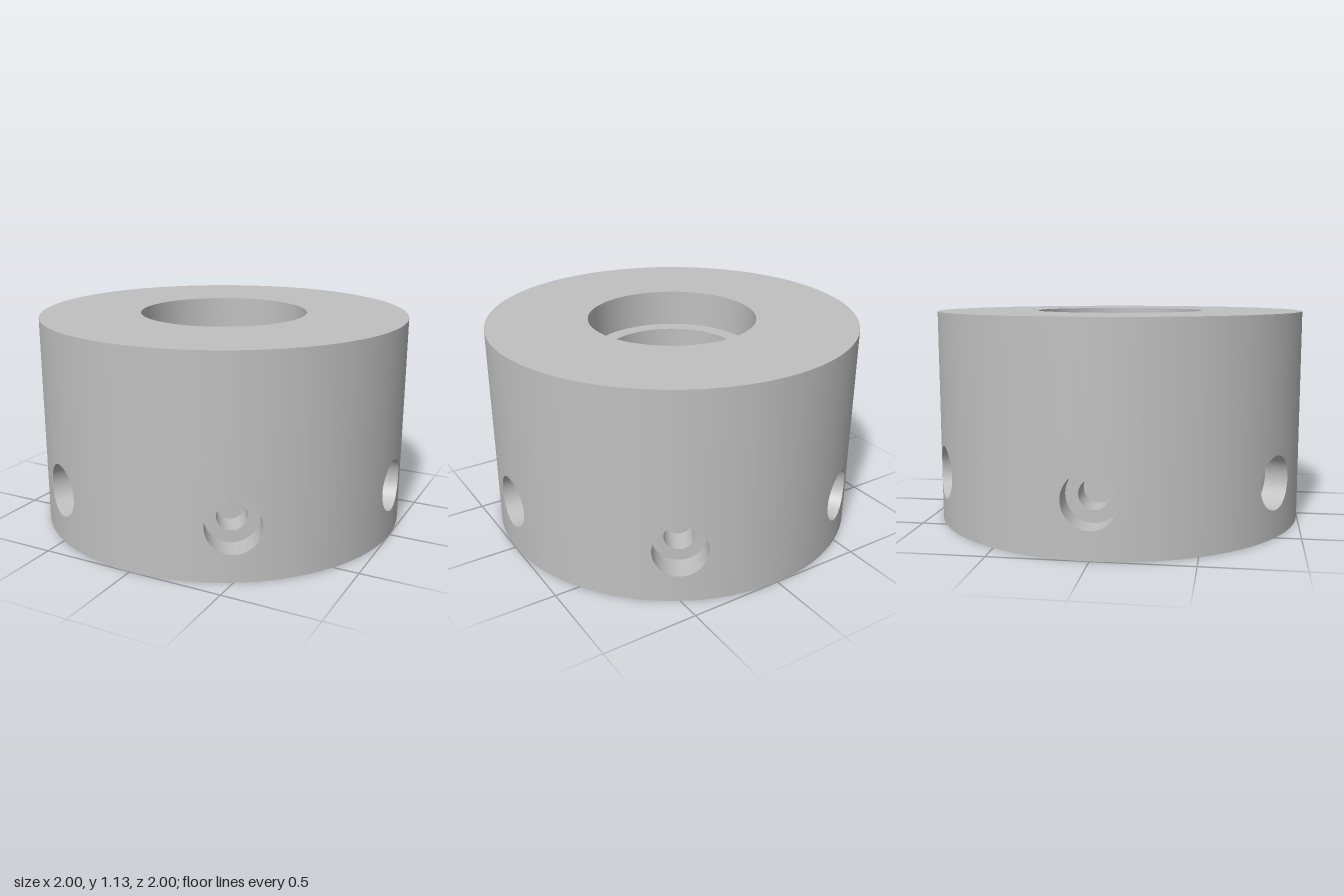
import * as THREE from 'three';
import { mergeVertices } from 'three/addons/utils/BufferGeometryUtils.js';

const SEG = 96;
const HEIGHT = 1.13, R_OUT = 1, R_SEAT = 0.455, R_BORE = 0.367;
const GROOVE_IN = 0.63, GROOVE_OUT = 0.72;
const HOLE_Y = 0.285, GROOVE_TOP = 2 * HOLE_Y;
const R_HEAD = 0.14, R_SHANK = 0.077, HEAD_FLOOR = 0.86;
const SEAT_Y = 0.93;
const SLOT = { width: 0.23, thick: 0.08, depth: 0.32, radius: 0.495 };

// surface from a rule (u, v) -> point, facing du x dv
function grid(rule, nu, nv) {
  const pos = [], index = [];
  for (let j = 0; j <= nv; j++)
    for (let i = 0; i <= nu; i++) pos.push(...rule(i / nu, j / nv));
  for (let j = 0; j < nv; j++)
    for (let i = 0; i < nu; i++) {
      const a = j * (nu + 1) + i, b = a + 1, d = a + nu + 1, c = d + 1;
      index.push(a, b, d, b, c, d);
    }
  let g = new THREE.BufferGeometry();
  g.setAttribute('position', new THREE.Float32BufferAttribute(pos, 3));
  g.setIndex(index);
  g = mergeVertices(g, 1e-5);
  g.computeVertexNormals();
  return g;
}

// point on the border of a square, counterclockwise
function square(u) {
  const s = Math.floor(u * 4), t = 2 * (u * 4 - s) - 1;
  return [[1, t], [-t, 1], [-1, -t], [t, -1]][s % 4];
}

// point of a round hole cut through a cylinder wall of radius R
function holeOnWall(u, r, R) {
  const [sx, sy] = square(u), a = Math.atan2(sy, sx), x = r * Math.cos(a);
  return [x, HOLE_Y + r * Math.sin(a), R ? Math.sqrt(R * R - x * x) : HEAD_FLOOR];
}

// one sixth of a cylinder wall with a round hole; v runs from hole to border
function wallPatch(R, r, outward) {
  const g = grid((u, v) => {
    const k = outward ? 1 - v : v, [sx, sy] = square(u), h = holeOnWall(u, r, R);
    const ang = THREE.MathUtils.lerp(Math.asin(h[0] / R), sx * Math.PI / 6, k);
    return [R * Math.sin(ang), THREE.MathUtils.lerp(h[1], HOLE_Y * (1 + sy), k), R * Math.cos(ang)];
  }, 64, 8);
  const p = g.attributes.position, n = g.attributes.normal, s = outward ? 1 / R : -1 / R;
  for (let i = 0; i < p.count; i++) n.setXYZ(i, p.getX(i) * s, 0, p.getZ(i) * s);
  return g;
}

// ruled surface between two hole outlines
function between(r0, R0, r1, R1) {
  return grid((u, v) => {
    const a = holeOnWall(u, r0, R0), b = holeOnWall(u, r1, R1);
    return a.map((c, i) => THREE.MathUtils.lerp(c, b[i], v));
  }, 64, 1);
}

// inside faces of a rectangular pocket open at the bottom
function pocket(w, h, d) {
  const g = new THREE.BoxGeometry(w, h, d);
  const idx = Array.from(g.index.array).filter((_, i) => i < 18 || i >= 24);
  g.clearGroups();
  g.setIndex(idx.reverse());
  const n = g.attributes.normal;
  for (let i = 0; i < n.count; i++) n.setXYZ(i, -n.getX(i), -n.getY(i), -n.getZ(i));
  return g;
}

export function createModel() {
  const model = new THREE.Group();
  model.name = 'clampCollar';
  const grey = new THREE.MeshStandardMaterial({ color: 0xc0c0c0 });
  grey.name = 'grey';

  const add = (parent, name, geometry) => {
    const m = new THREE.Mesh(geometry, grey);
    m.name = name;
    parent.add(m);
    return m;
  };
  const turned = (name, r0, y0, r1, y1) =>
    add(model, name, new THREE.LatheGeometry([new THREE.Vector2(r0, y0), new THREE.Vector2(r1, y1)], SEG));

  // turned surfaces, each kept apart for sharp edges
  turned('outerWall', R_OUT, GROOVE_TOP, R_OUT, HEIGHT);
  turned('topFace', R_OUT, HEIGHT, R_SEAT, HEIGHT);
  turned('seatWall', R_SEAT, HEIGHT, R_SEAT, SEAT_Y);
  turned('seatFloor', R_SEAT, SEAT_Y, R_BORE, SEAT_Y);
  turned('bore', R_BORE, SEAT_Y, R_BORE, 0);
  turned('sleeveWall', GROOVE_IN, 0, GROOVE_IN, GROOVE_TOP);
  turned('grooveCeiling', GROOVE_IN, GROOVE_TOP, GROOVE_OUT, GROOVE_TOP);
  turned('bottomRim', GROOVE_OUT, 0, R_OUT, 0);

  // sleeve underside with six slot openings
  const face = new THREE.Shape().absarc(0, 0, GROOVE_IN, 0, Math.PI * 2);
  face.holes.push(new THREE.Path().absarc(0, 0, R_BORE, 0, Math.PI * 2, true));
  for (let k = 0; k < 6; k++) {
    const a = k * Math.PI / 3, t = SLOT.thick / 2, w = SLOT.width / 2;
    const corners = [[-t, -w], [-t, w], [t, w], [t, -w]].map(([x, y]) =>
      new THREE.Vector2(SLOT.radius + x, y).rotateAround(new THREE.Vector2(), a));
    face.holes.push(new THREE.Path(corners));
  }
  add(model, 'sleeveUnderside', new THREE.ShapeGeometry(face, SEG).rotateX(Math.PI / 2));

  // six stations, each with a stepped screw hole and a slot
  const parts = {
    outerWallPanel: wallPatch(R_OUT, R_HEAD, true),
    screwHeadHole: between(R_HEAD, R_OUT, R_HEAD, 0),
    screwHeadFloor: between(R_HEAD, 0, R_SHANK, 0),
    screwShankHole: between(R_SHANK, 0, R_SHANK, GROOVE_OUT),
    grooveWallPanel: wallPatch(GROOVE_OUT, R_SHANK, false),
    slotWalls: pocket(SLOT.width, SLOT.depth, SLOT.thick).translate(0, SLOT.depth / 2, SLOT.radius),
  };
  for (let k = 0; k < 6; k++) {
    const station = new THREE.Group();
    station.name = 'screwStation' + (k + 1);
    station.rotation.y = Math.PI / 2 + k * Math.PI / 3;
    for (const name in parts) add(station, name, parts[name]);
    model.add(station);
  }
  return model;
}
